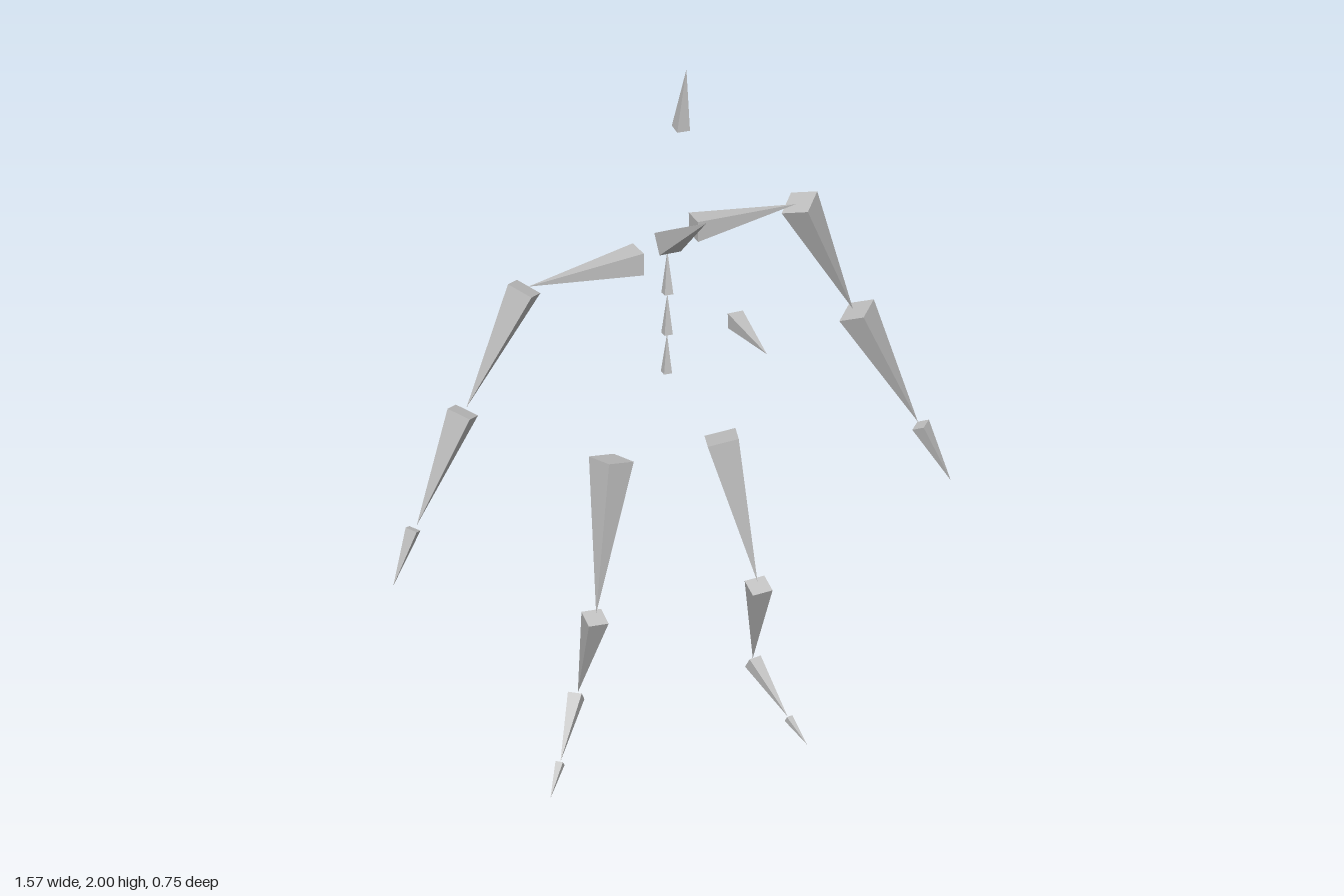
import * as THREE from 'three';

const grey = new THREE.MeshStandardMaterial({ color: 0xc0c0c0 });
grey.name = 'boneGrey';

// Unit pyramid: square base at the origin, point at y = 1, width a fifth of the length
function pyramid(diamond) {
  let g = new THREE.ConeGeometry(0.1 * Math.SQRT2, 1, 4);
  if (!diamond) g.rotateY(Math.PI / 4);
  g.translate(0, 0.5, 0);
  g = g.toNonIndexed();
  g.computeVertexNormals();
  return g;
}

export function createModel() {
  const model = new THREE.Group();
  model.name = 'boneRig';
  const square = pyramid(false), diamond = pyramid(true);
  const Z = [0, 0, 1], X = [1, 0, 0], Y = [0, 1, 0];

  // One bone from head to tail; ref sets the roll of its square base
  function bone(name, head, tail, ref = Z, geometry = square) {
    const a = new THREE.Vector3(...head);
    const dir = new THREE.Vector3(...tail).sub(a);
    const length = dir.length();
    dir.normalize();
    const u = new THREE.Vector3(...ref);
    u.addScaledVector(dir, -u.dot(dir)).normalize();
    const w = new THREE.Vector3().crossVectors(u, dir);
    const m = new THREE.Mesh(geometry, grey);
    m.name = name;
    m.quaternion.setFromRotationMatrix(new THREE.Matrix4().makeBasis(u, dir, w));
    m.position.copy(a);
    m.scale.setScalar(length);
    model.add(m);
  }

  // Spine, neck and head
  bone('lowerSpine', [-0.006, 1.098, -0.277], [-0.003, 1.21, -0.28]);
  bone('middleSpine', [-0.003, 1.21, -0.28], [0, 1.325, -0.285]);
  bone('upperSpine', [0, 1.325, -0.285], [0.004, 1.445, -0.295]);
  bone('neck', [0.008, 1.465, -0.303], [0.014, 1.64, -0.057], X);
  bone('head', [0.026, 1.82, -0.256], [0.034, 2.0, -0.238], X);
  bone('forwardBone', [0.007, 1.465, 0.157], [0.007, 1.467, 0.37], X);

  // Right arm
  bone('rightCollarbone', [-0.08, 1.44, -0.288], [-0.4, 1.436, -0.266]);
  bone('rightUpperArm', [-0.412, 1.434, -0.263], [-0.57, 1.112, -0.273], Z, diamond);
  bone('rightForearm', [-0.58, 1.1, -0.274], [-0.712, 0.797, -0.268], Z, diamond);
  bone('rightHand', [-0.724, 0.79, -0.264], [-0.786, 0.643, -0.249], Z, diamond);

  // Left arm
  bone('leftCollarbone', [0.078, 1.498, -0.296], [0.37, 1.503, -0.303]);
  bone('leftUpperArm', [0.379, 1.506, -0.303], [0.536, 1.152, -0.318], Z, diamond);
  bone('leftForearm', [0.548, 1.144, -0.323], [0.704, 0.803, -0.283], Z, diamond);
  bone('leftHand', [0.71, 0.795, -0.28], [0.782, 0.632, -0.249], Z, diamond);

  // Right leg
  bone('rightThigh', [-0.165, 0.88, -0.267], [-0.24, 0.478, -0.19], [0.26, 0, 0.97]);
  bone('rightShin', [-0.243, 0.467, -0.19], [-0.254, 0.205, -0.28]);
  bone('rightFoot', [-0.257, 0.195, -0.284], [-0.347, 0.073, -0.174], Y);
  bone('rightToe', [-0.349, 0.07, -0.172], [-0.4, 0.004, -0.115], Y);

  // Left leg
  bone('leftThigh', [0.145, 0.88, -0.267], [0.214, 0.478, -0.19], [-0.26, 0, 0.97]);
  bone('leftShin', [0.217, 0.467, -0.19], [0.238, 0.205, -0.28]);
  bone('leftFoot', [0.24, 0.194, -0.284], [0.277, 0.095, -0.138], Y);
  bone('leftToe', [0.278, 0.092, -0.135], [0.3, 0.045, -0.063], Y);

  return model;
}
